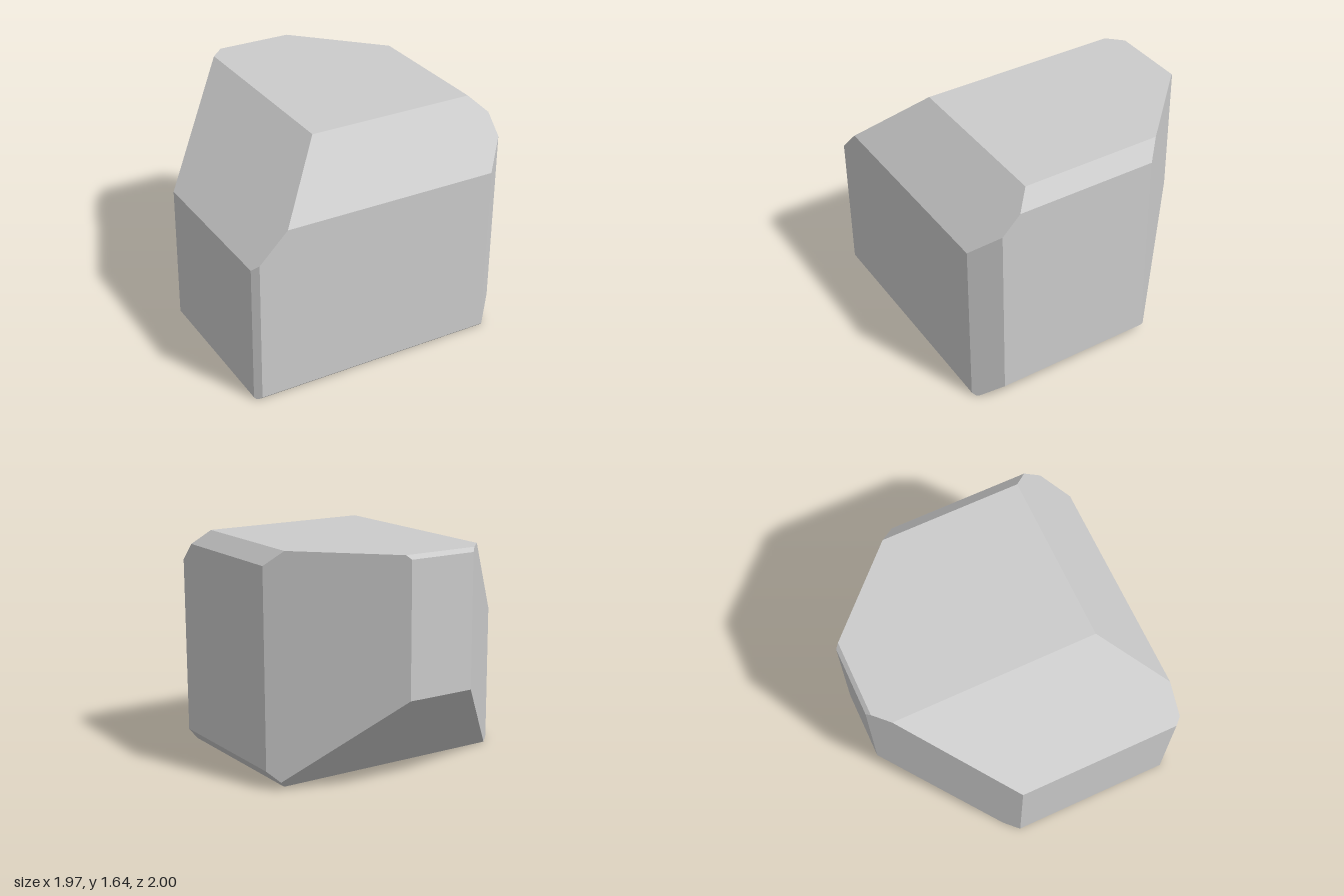
import * as THREE from 'three';

// Half extents of the block, and its height
const HX = 0.985, H = 1.645, HY = H / 2, HZ = 1;

// Bevelled edges: [x, y, z side, setback of the 45 degree cut]
const BEVELS = [
  [-1, 1, 0, 0.645], [1, 1, 0, 0.105], [1, -1, 0, 0.13], [-1, -1, 0, 0.01],
  [0, 1, 1, 0.4], [0, 1, -1, 0.028], [0, -1, -1, 0.68], [0, -1, 1, 0.02],
  [1, 0, 1, 0.165], [-1, 0, 1, 0.042], [-1, 0, -1, 0.778], [1, 0, -1, 0.695],
];

// The six sides and twelve bevels as planes n.p = d, centred on the block
function blockPlanes() {
  const planes = [];
  const add = (x, y, z, cut) => planes.push({
    n: new THREE.Vector3(x, y, z),
    d: Math.abs(x) * HX + Math.abs(y) * HY + Math.abs(z) * HZ - cut,
  });
  for (const s of [-1, 1]) {
    add(s, 0, 0, 0);
    add(0, s, 0, 0);
    add(0, 0, s, 0);
  }
  BEVELS.forEach((b) => add(...b));
  return planes;
}

// Corners: points where three planes meet that lie inside all the others
function corners(planes) {
  const points = [];
  for (let i = 0; i < planes.length; i++)
    for (let j = i + 1; j < planes.length; j++)
      for (let k = j + 1; k < planes.length; k++) {
        const [a, b, c] = [planes[i], planes[j], planes[k]];
        const bc = b.n.clone().cross(c.n);
        const det = a.n.dot(bc);
        if (Math.abs(det) < 1e-6) continue;
        const p = bc.multiplyScalar(a.d)
          .addScaledVector(c.n.clone().cross(a.n), b.d)
          .addScaledVector(a.n.clone().cross(b.n), c.d)
          .divideScalar(det);
        if (planes.every((q) => q.n.dot(p) < q.d + 1e-6) &&
            points.every((q) => q.distanceTo(p) > 1e-5)) points.push(p);
      }
  return points;
}

// Each plane's corners, sorted around its normal and fanned into triangles
function bevelledBlock() {
  const planes = blockPlanes();
  const points = corners(planes);
  const positions = [];
  for (const { n, d } of planes) {
    const face = points.filter((p) => Math.abs(n.dot(p) - d) < 1e-5);
    if (face.length < 3) continue;
    const mid = face.reduce((m, p) => m.add(p), new THREE.Vector3()).divideScalar(face.length);
    const u = face[0].clone().sub(mid).normalize();
    const v = n.clone().normalize().cross(u);
    const angle = (p) => {
      const r = p.clone().sub(mid);
      return Math.atan2(r.dot(v), r.dot(u));
    };
    face.sort((p, q) => angle(p) - angle(q));
    for (let i = 1; i < face.length - 1; i++)
      for (const p of [face[0], face[i], face[i + 1]]) positions.push(p.x, p.y + HY, p.z);
  }
  const geometry = new THREE.BufferGeometry();
  geometry.setAttribute('position', new THREE.Float32BufferAttribute(positions, 3));
  geometry.computeVertexNormals();
  return geometry;
}

export function createModel() {
  const group = new THREE.Group();
  group.name = 'bevelledBlock';
  const block = new THREE.Mesh(
    bevelledBlock(),
    new THREE.MeshStandardMaterial({ color: 0xcccccc, flatShading: true }),
  );
  block.name = 'block';
  group.add(block);
  return group;
}
